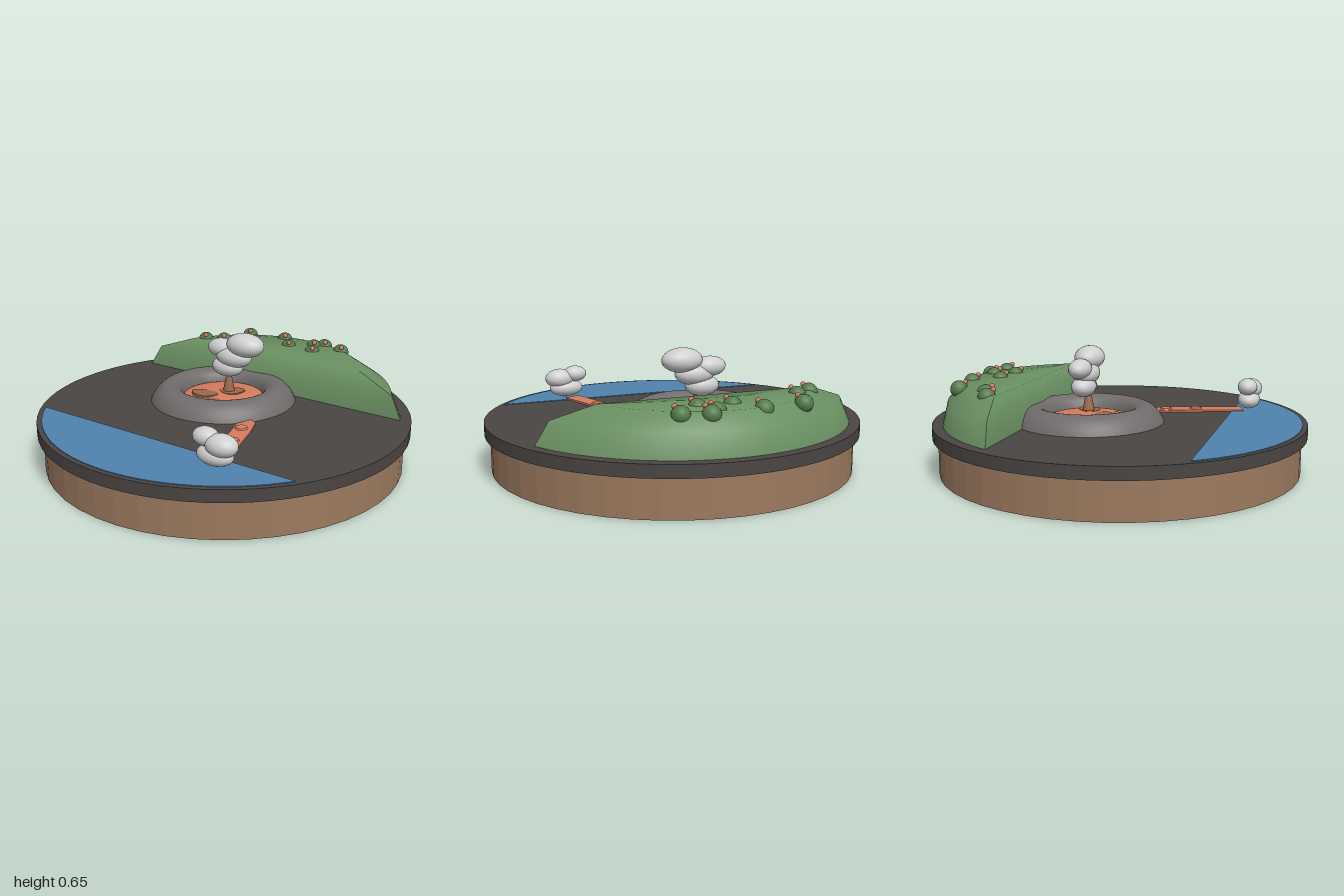
import * as THREE from 'three';
import { toCreasedNormals } from 'three/addons/utils/BufferGeometryUtils.js';

const mat = (name, color) => Object.assign(new THREE.MeshStandardMaterial({ color }), { name });
const rad = THREE.MathUtils.degToRad;

export function createModel() {
  const model = new THREE.Group();
  model.name = 'volcanicIsland';
  const soil = mat('soilBrown', 0x9c7a5f);
  const basalt = mat('basalt', 0x4a4543);
  const stone = mat('craterGrey', 0x6f6c6b);
  const lava = mat('lavaOrange', 0xd67c5f);
  const crust = mat('crustBrown', 0x98694d);
  const grass = mat('grassGreen', 0x6a9062);
  const leaf = mat('bushGreen', 0x557a4d);
  const water = mat('waterBlue', 0x4f83ae);
  const smoke = mat('smokeWhite', 0xcfcfcf);

  const add = (name, geo, material, x = 0, y = 0, z = 0, parent = model) => {
    const m = new THREE.Mesh(geo, material);
    m.name = name;
    m.position.set(x, y, z);
    parent.add(m);
    return m;
  };
  const facet = (geo) => {
    const g = geo.toNonIndexed();
    g.computeVertexNormals();
    return g;
  };

  // Round base and dark ground slab
  add('base', facet(new THREE.CylinderGeometry(0.97, 0.97, 0.2, 48)), soil, 0, 0.1, 0);
  add('groundSlab', facet(new THREE.CylinderGeometry(1, 1, 0.065, 64)), basalt, 0, 0.2325, 0);

  // Thin sheet of water filling a segment of the circle
  const pond = new THREE.Shape().absarc(0, 0, 0.973, rad(195), rad(305), false);
  const pondGeo = new THREE.ExtrudeGeometry(pond, { depth: 0.004, bevelEnabled: false, curveSegments: 40 });
  add('water', pondGeo.rotateX(-Math.PI / 2), water, 0, 0.265, 0);

  // Grassy hill: rings of one circle segment, shrunk towards its middle as they rise
  const outline = [];
  for (let i = 0; i <= 36; i++) {
    const a = rad(5 + (130 * i) / 36);
    outline.push([0.943 * Math.cos(a), -0.943 * Math.sin(a)]);
  }
  const [first, last] = [outline[0], outline[36]];
  for (let i = 1; i < 8; i++) {
    outline.push([0, 1].map((k) => THREE.MathUtils.lerp(last[k], first[k], i / 8)));
  }
  const n = outline.length, mid = [0.216, -0.592];
  const rings = [[1, 0.265], [0.92, 0.385], [0.67, 0.458]];
  const pos = [], idx = [];
  for (const [s, y] of rings) {
    for (const [x, z] of outline) pos.push(mid[0] + (x - mid[0]) * s, y, mid[1] + (z - mid[1]) * s);
  }
  pos.push(mid[0], 0.462, mid[1]);
  for (let i = 0; i < n; i++) {
    const j = (i + 1) % n;
    for (let r = 0; r < 2; r++) {
      const a = r * n + i, b = r * n + j;
      idx.push(a, b, b + n, a, b + n, a + n);
    }
    idx.push(2 * n + i, 2 * n + j, 3 * n);
  }
  const hill = new THREE.BufferGeometry();
  hill.setAttribute('position', new THREE.Float32BufferAttribute(pos, 3));
  hill.setIndex(idx);
  add('hill', toCreasedNormals(hill, 0.9), grass);

  // Bushes, each with a small bright flower
  const bushes = [[-0.31, -0.685], [-0.2, -0.7], [-0.07, -0.85], [0.16, -0.805], [0.215, -0.655],
    [0.36, -0.7], [0.42, -0.725], [0.53, -0.64], [0.37, -0.58]];
  const bushGeo = new THREE.SphereGeometry(0.046, 18, 12);
  const flowerGeo = new THREE.SphereGeometry(0.014, 10, 8);
  for (const [x, z] of bushes) {
    const bush = new THREE.Group();
    bush.name = 'bush';
    bush.position.set(x, 0.444, z);
    model.add(bush);
    add('leaves', bushGeo, leaf, 0, 0, 0, bush);
    add('flower', flowerGeo, lava, 0.008, 0.036, 0.032, bush);
  }

  // Crater rim with a shallow dome of lava inside
  const cx = -0.053, cz = -0.17;
  const rim = new THREE.SplineCurve([[0.405, 0.262], [0.385, 0.3], [0.35, 0.337], [0.31, 0.354],
    [0.272, 0.35], [0.24, 0.33], [0.222, 0.295], [0.215, 0.262]].map((p) => new THREE.Vector2(...p)));
  add('craterRim', new THREE.LatheGeometry(rim.getPoints(24), 48), stone, cx, 0, cz);
  const pool = new THREE.SphereGeometry(0.24, 40, 10, 0, Math.PI * 2, 0, Math.PI / 2).scale(1, 0.2, 1);
  add('lavaPool', pool, lava, cx, 0.266, cz);

  // Crusted rock floating on the lava, and the vent under the smoke
  const floe = (x, y, z, rx, rz, turn) => {
    const s = new THREE.Shape();
    for (let i = 0; i < 14; i++) {
      const a = (i / 14) * Math.PI * 2, k = 1 + 0.09 * Math.sin(3 * a + turn);
      s[i ? 'lineTo' : 'moveTo'](rx * k * Math.cos(a), rz * k * Math.sin(a));
    }
    const g = new THREE.ExtrudeGeometry(s, { depth: 0.02, bevelEnabled: false }).rotateX(-Math.PI / 2);
    add('crustFloe', g, crust, x, y, z).rotation.y = turn;
  };
  floe(-0.14, 0.293, -0.095, 0.08, 0.05, -0.2);
  floe(-0.075, 0.286, -0.03, 0.04, 0.028, -0.5);
  floe(0, 0.295, -0.165, 0.07, 0.055, 0.4);
  add('vent', new THREE.CylinderGeometry(0.014, 0.035, 0.11, 14), crust, -0.02, 0.355, -0.17);

  // Lava stream running to the water, with low ripples
  const stream = new THREE.Shape([[0.19, -0.14], [0.222, -0.18], [0.226, -0.3], [0.218, -0.45], [0.212, -0.6],
    [0.205, -0.7], [0.11, -0.7], [0.118, -0.55], [0.125, -0.4], [0.13, -0.21]].reverse()
    .map((p) => new THREE.Vector2(...p)));
  const streamGeo = new THREE.ExtrudeGeometry(stream, { depth: 0.01, bevelEnabled: false });
  add('lavaStream', streamGeo.rotateX(-Math.PI / 2), lava, 0, 0.265, 0);
  for (const z of [0.27, 0.44]) {
    add('lavaRipple', new THREE.CylinderGeometry(0.03, 0.035, 0.008, 14), lava, 0.17, 0.278, z);
  }

  // Smoke and steam: stacked squashed puffs [x, y, z, rx, ry, rz]
  const puffGeo = new THREE.SphereGeometry(1, 24, 16);
  const cloud = (name, puffs) => {
    const g = new THREE.Group();
    g.name = name;
    model.add(g);
    for (const [x, y, z, rx, ry, rz] of puffs) {
      const p = add('puff', puffGeo, smoke, x, y, z, g);
      p.scale.set(rx, ry, rz);
      p.rotation.y = -0.32;
    }
  };
  cloud('craterSmoke', [[-0.035, 0.445, -0.195, 0.095, 0.055, 0.065], [0.005, 0.51, -0.18, 0.11, 0.06, 0.07],
    [-0.07, 0.545, -0.215, 0.09, 0.053, 0.06], [0.075, 0.585, -0.16, 0.112, 0.065, 0.08]]);
  cloud('waterSteam', [[0.17, 0.325, 0.742, 0.098, 0.05, 0.062], [0.12, 0.405, 0.722, 0.068, 0.046, 0.054],
    [0.205, 0.382, 0.757, 0.085, 0.055, 0.065]]);

  return model;
}
